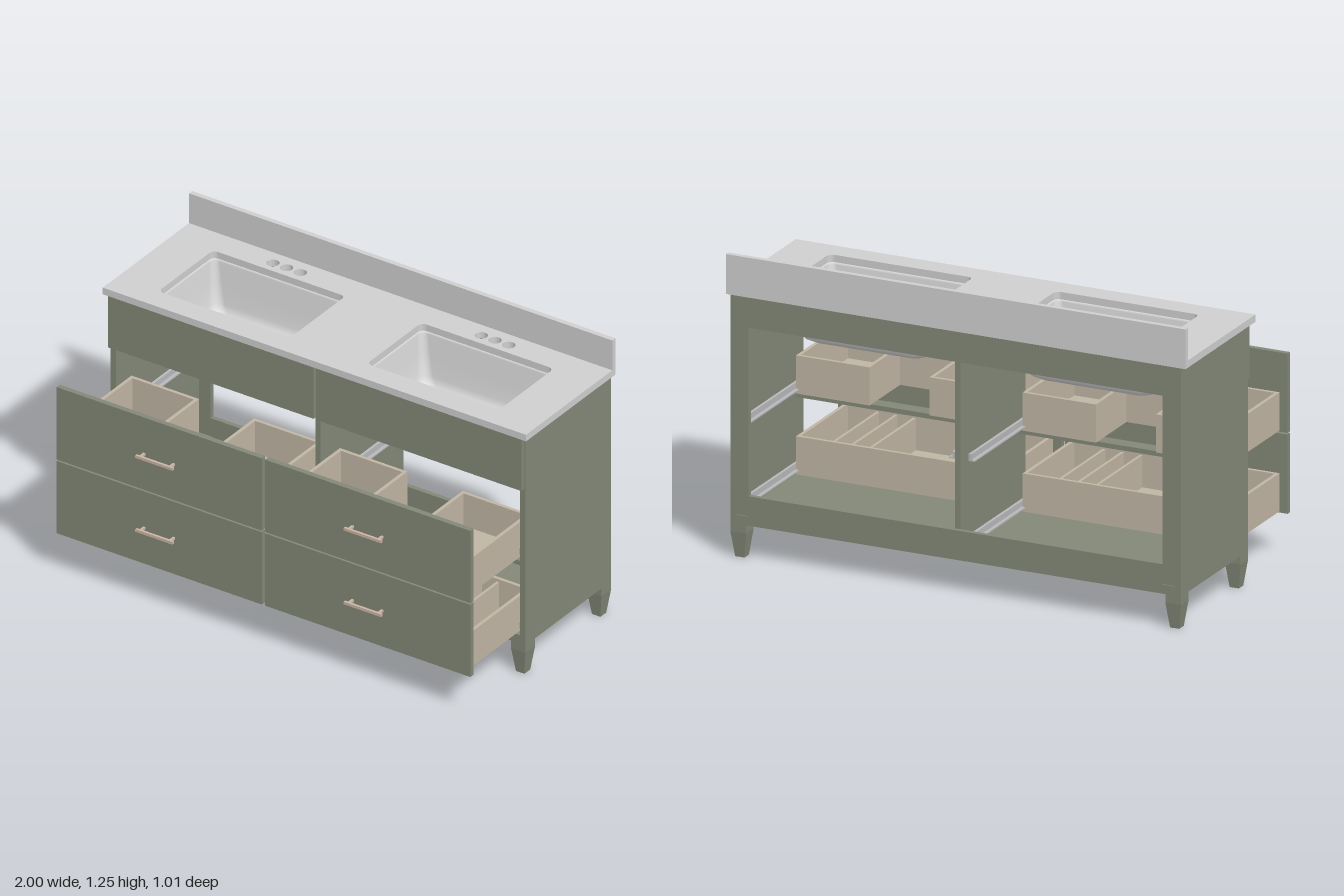
import * as THREE from 'three';

const material = (name, color, side = THREE.FrontSide) => {
  const m = new THREE.MeshStandardMaterial({ color, side });
  m.name = name;
  return m;
};

export function createModel() {
  const model = new THREE.Group();
  model.name = 'doubleVanity';
  const green = material('sage paint', 0x838877);
  const stone = material('light stone', 0xcfcfcf);
  const ceramic = material('ceramic', 0xd6d6d6, THREE.DoubleSide);
  const wood = material('pale wood', 0xc0b5a3);
  const metal = material('warm metal', 0xcbb5a5);
  const steel = material('slide steel', 0xb8b9bc);

  const add = (name, geometry, mat, parent = model) => {
    const mesh = new THREE.Mesh(geometry, mat);
    mesh.name = name;
    parent.add(mesh);
    return mesh;
  };
  // Box given by its minimum and maximum on each axis
  const box = (name, mat, x0, x1, y0, y1, z0, z1, parent) => {
    const g = new THREE.BoxGeometry(x1 - x0, y1 - y0, z1 - z0);
    g.translate((x0 + x1) / 2, (y0 + y1) / 2, (z0 + z1) / 2);
    return add(name, g, mat, parent);
  };
  // Flat slab from a plan outline drawn in (x, -z)
  const slab = (name, mat, shape, y, height, parent) => {
    const g = new THREE.ExtrudeGeometry(shape, { depth: height, bevelEnabled: false, curveSegments: 12 });
    g.rotateX(-Math.PI / 2).translate(0, y, 0);
    return add(name, g, mat, parent);
  };
  // Rounded rectangle loop as [x, z] pairs
  const roundedLoop = (hx, hz, r, steps = 6) => {
    const pts = [];
    for (let c = 0; c < 4; c++) {
      const sx = c === 0 || c === 3 ? 1 : -1, sz = c < 2 ? 1 : -1;
      for (let i = 0; i <= steps; i++) {
        const a = (c + i / steps) * Math.PI / 2;
        pts.push([sx * (hx - r) + r * Math.cos(a), sz * (hz - r) + r * Math.sin(a)]);
      }
    }
    return pts;
  };

  const bays = [-0.4925, 0.4925];
  const sinkZ = -0.174;

  // Countertop with sink and tap holes, and backsplash
  const top = new THREE.Shape([[-1, -0.115], [1, -0.115], [1, 0.505], [-1, 0.505]]
    .map(([x, y]) => new THREE.Vector2(x, y)));
  for (const cx of bays) {
    top.holes.push(new THREE.Path(roundedLoop(0.3125, 0.19, 0.025)
      .map(([x, z]) => new THREE.Vector2(cx + x, -(sinkZ + z)))));
    for (const dx of [-0.065, 0, 0.065]) {
      top.holes.push(new THREE.Path().absarc(cx + dx, 0.415, 0.026, 0, Math.PI * 2, true));
    }
  }
  slab('countertop', stone, top, 1.085, 0.03);
  box('backsplash', stone, -1, 1, 1.115, 1.25, -0.505, -0.483);

  // Sink bowls: loops from the flange down to the open drain
  const rings = [
    [0.335, 0.212, 0.04, 1.084], [0.312, 0.19, 0.028, 1.084], [0.31, 0.188, 0.03, 1.075],
    [0.298, 0.177, 0.035, 0.99], [0.285, 0.165, 0.045, 0.905], [0.272, 0.153, 0.05, 0.88],
    [0.245, 0.13, 0.05, 0.865], [0.2, 0.1, 0.05, 0.86], [0.034, 0.034, 0.034, 0.852],
    [0.032, 0.032, 0.032, 0.848], [0.032, 0.032, 0.032, 0.835],
  ];
  const verts = [], index = [], n = 28;
  rings.forEach(([hx, hz, r, y], i) => {
    for (const [x, z] of roundedLoop(hx, hz, r)) verts.push(x, y, z);
    if (i === 0) return;
    for (let j = 0; j < n; j++) {
      const a = (i - 1) * n + j, b = (i - 1) * n + (j + 1) % n;
      index.push(a, a + n, b, b, a + n, b + n);
    }
  });
  const bowl = new THREE.BufferGeometry();
  bowl.setAttribute('position', new THREE.Float32BufferAttribute(verts, 3));
  bowl.setIndex(index);
  bowl.computeVertexNormals();
  for (const cx of bays) {
    add('sinkBowl', bowl, ceramic).position.set(cx, 0, sinkZ);
    const ring = add('drainRing', new THREE.TorusGeometry(0.034, 0.004, 6, 24), ceramic);
    ring.rotation.x = Math.PI / 2;
    ring.position.set(cx, 0.837, sinkZ);
  }

  // Cabinet shell
  for (const s of [-1, 1]) {
    const x = s * 0.9675;
    box('sidePanel', green, x - 0.0125, x + 0.0125, 0.14, 1.085, -0.505, 0.09);
    box('backStile', green, s * 0.9275 - 0.0275, s * 0.9275 + 0.0275, 0.18, 1.085, -0.505, -0.485);
  }
  box('floorPanel', green, -0.955, 0.955, 0.14, 0.178, -0.505, 0.09);
  box('divider', green, -0.012, 0.012, 0.178, 1.085, -0.485, 0.09);
  box('backTopRail', green, -0.9, 0.9, 0.96, 1.085, -0.505, -0.485);
  box('backBottomRail', green, -0.9, 0.9, 0.178, 0.262, -0.505, -0.485);
  for (const s of [-1, 1]) {
    const x0 = s < 0 ? -0.955 : 0.012, x1 = s < 0 ? -0.012 : 0.955;
    box('upperFrontRail', green, x0, x1, 0.85, 0.875, 0.03, 0.09);
    box('middleFrontRail', green, x0, x1, 0.495, 0.515, 0.03, 0.09);
    box('falseFront', green, s < 0 ? -0.976 : 0.006, s < 0 ? -0.006 : 0.976, 0.85, 1.084, 0.09, 0.112);
  }

  // Tapered feet
  const taper = new THREE.CylinderGeometry(0.034 * Math.SQRT2, 0.02 * Math.SQRT2, 0.105, 4, 1)
    .rotateY(Math.PI / 4).toNonIndexed();
  taper.computeVertexNormals();
  for (const x of [-0.946, 0.946]) {
    for (const z of [-0.471, 0.056]) {
      add('footTaper', taper, green).position.set(x, 0.0525, z);
      box('footBlock', green, x - 0.034, x + 0.034, 0.105, 0.14, z - 0.034, z + 0.034);
    }
  }

  // Pulled-out drawers; the upper ones wrap around the plumbing
  const t = 0.015, half = 0.45, notch = 0.13, notchZ = 0.27, frontZ = 0.445;
  const makeDrawer = (name, cx, y, notched) => {
    const d = new THREE.Group();
    d.name = name;
    d.position.set(cx, y, 0);
    model.add(d);
    const h = 0.163;
    const wall = (x0, x1, z0, z1, height = h) => box('drawerWall', wood, x0, x1, 0.005, height, z0, z1, d);
    const outline = notched
      ? [[-half, 0], [-notch, 0], [-notch, notchZ], [notch, notchZ], [notch, 0], [half, 0], [half, frontZ], [-half, frontZ]]
      : [[-half, 0], [half, 0], [half, frontZ], [-half, frontZ]];
    slab('drawerBottom', wood, new THREE.Shape(outline.map(([x, z]) => new THREE.Vector2(x, -z))), 0.005, 0.012, d);
    for (const s of [-1, 1]) {
      wall(s < 0 ? -half : half - t, s < 0 ? -half + t : half, 0, frontZ);
    }
    wall(-half + t, half - t, frontZ - t, frontZ);
    if (notched) {
      wall(-half + t, -notch, 0, t);
      wall(notch, half - t, 0, t);
      wall(-notch - t, -notch, t, notchZ);
      wall(notch, notch + t, t, notchZ);
      wall(-notch - t, notch + t, notchZ, notchZ + t);
    } else {
      wall(-half + t, half - t, 0, t);
      for (const x of [0.14, 0.22, 0.3]) wall(x, x + 0.012, t, frontZ - t, 0.15);
    }
    box('drawerFront', green, -0.485, 0.485, 0, 0.328, frontZ, 0.468, d);
    // Bar handle on two posts
    box('handleBar', metal, -0.088, 0.088, 0.157, 0.169, 0.494, 0.505, d);
    for (const x of [-0.07, 0.07]) box('handlePost', metal, x - 0.005, x + 0.005, 0.158, 0.168, 0.468, 0.494, d);
    // Runners fixed to the cabinet on both sides
    for (const s of [-1, 1]) {
      const x = s * 0.457;
      box('drawerSlide', steel, x - 0.006, x + 0.006, 0.02, 0.05, -0.45, 0.08, d);
      box('slideLip', steel, x - s * 0.012 - 0.008, x - s * 0.012 + 0.008, 0.02, 0.026, -0.45, -0.002, d);
    }
  };
  for (const cx of bays) {
    makeDrawer('upperDrawer', cx, 0.516, true);
    makeDrawer('lowerDrawer', cx, 0.181, false);
  }
  return model;
}
